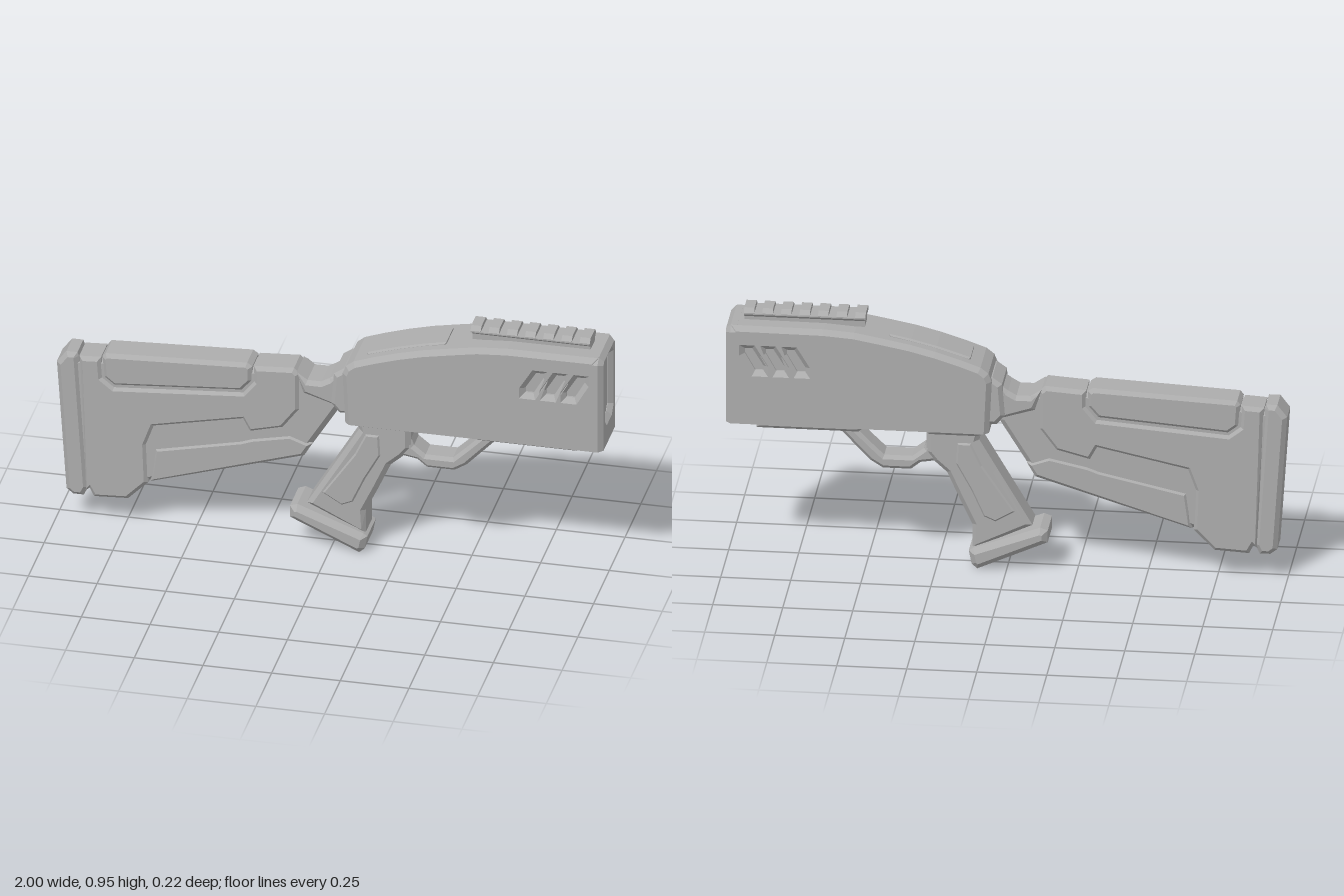
import * as THREE from 'three';

const grey = new THREE.MeshStandardMaterial({ color: 0xacacac });
grey.name = 'plain grey';

const path = (pts, Type = THREE.Shape) => new Type(pts.map(([x, y]) => new THREE.Vector2(x, y)));

// Chamfered solid from an outline, centred on its own depth axis; flatY keeps the underside square
function slab(pts, half, bevel, { holes = [], flatY } = {}) {
  const shape = path(pts);
  shape.holes = holes.map((h) => path(h, THREE.Path));
  const g = new THREE.ExtrudeGeometry(shape, {
    depth: 2 * (half - bevel), steps: 1, bevelEnabled: bevel > 0, bevelSegments: 1,
    bevelThickness: bevel, bevelSize: bevel, bevelOffset: -bevel,
  });
  g.translate(0, 0, -(half - bevel));
  if (flatY !== undefined) {
    const p = g.attributes.position;
    for (let i = 0; i < p.count; i++) if (p.getY(i) < flatY + bevel * 1.2) p.setY(i, flatY);
    g.computeVertexNormals();
  }
  return g;
}

// Rectangle with cut corners
const cutRect = (x0, x1, y0, y1, c) => [
  [x0 + c, y0], [x1 - c, y0], [x1, y0 + c], [x1, y1 - c],
  [x1 - c, y1], [x0 + c, y1], [x0, y1 - c], [x0, y0 + c],
];

export function createModel() {
  const model = new THREE.Group();
  const add = (name, geometry, x = 0) => {
    const m = new THREE.Mesh(geometry, grey);
    m.name = name;
    m.position.x = x;
    model.add(m);
  };
  // Outline in the z-y plane, extruded along x from x0 to x1
  const along = (name, pts, x0, x1, bevel, opts) =>
    add(name, slab(pts, (x1 - x0) / 2, bevel, opts).rotateY(Math.PI / 2), (x0 + x1) / 2);

  // Receiver shell with side window and three slanted vents
  const window = [
    [0.26, 0.56], [0.265, 0.625], [0.32, 0.755], [0.5, 0.755], [0.52, 0.74],
    [0.65, 0.74], [0.66, 0.725], [0.66, 0.585], [0.635, 0.56],
  ];
  const vents = [0, 1, 2].map((i) => [
    [0.715, 0.74], [0.745, 0.74], [0.782, 0.805], [0.782, 0.823], [0.755, 0.823], [0.715, 0.758],
  ].map(([x, y]) => [x + i * 0.075, y]));
  const top = [
    [0.98, 0.91], [0.65, 0.908], [0.54, 0.9], [0.44, 0.882], [0.34, 0.863],
    [0.25, 0.84], [0.16, 0.812], [0.09, 0.787], [0.062, 0.765], [0.05, 0.735],
  ];
  add('receiver', slab([[0.06, 0.54], [0.98, 0.54], ...top], 0.11, 0.018,
    { holes: [window, ...vents], flatY: 0.537 }));
  add('receiverCore', slab([[0.2, 0.545], [0.95, 0.545], [0.95, 0.87], [0.6, 0.86], [0.2, 0.79]], 0.084, 0));

  // Angled louvres inside the window
  [0, 1, 2, 3].forEach((i) => {
    const y = 0.69 - i * 0.032, x = 0.395 - i * 0.024;
    add('louvre', slab([
      [x, y - 0.026], [0.67, y - 0.026], [0.67, y], [x, y], [x - 0.09, y + 0.05], [x - 0.09, y + 0.024],
    ], 0.096 - i * 0.001, 0.008));
  });
  add('windowSill', slab([[0.25, 0.545], [0.67, 0.545], [0.67, 0.585], [0.25, 0.585]], 0.098, 0.008));

  // Front frame around a shallow recess
  along('frontFrame', [
    [-0.11, 0.54], [0.11, 0.54], [0.11, 0.888], [0.088, 0.91], [-0.088, 0.91], [-0.11, 0.888],
  ], 0.94, 1, 0.018, { holes: [cutRect(-0.052, 0.052, 0.63, 0.872, 0.02)], flatY: 0.537 });

  // Slim panel following the curved top
  const lift = (d) => [[0.42, 0.879], [0.34, 0.863], [0.25, 0.84], [0.16, 0.812], [0.13, 0.802]].map(([x, y]) => [x, y + d]);
  add('topPanel', slab([...lift(-0.02).reverse(), ...lift(0.007)], 0.06, 0.006));

  // Top rail and its teeth
  along('railBase', [
    [-0.035, 0.9], [0.035, 0.9], [0.035, 0.922], [0.05, 0.934], [0.05, 0.938],
    [-0.05, 0.938], [-0.05, 0.934], [-0.035, 0.922],
  ], 0.51, 0.94, 0);
  for (let i = 0; i < 7; i++) {
    const x = 0.506 + i * 0.0662;
    along('railTooth', [[-0.05, 0.934], [0.05, 0.934], [0.05, 0.94], [0.034, 0.955], [-0.034, 0.955], [-0.05, 0.94]], x, x + 0.037, 0);
  }

  // Plate under the front half
  add('underPlate', slab([[0.53, 0.503], [0.895, 0.503], [0.895, 0.56], [0.47, 0.56], [0.49, 0.54]], 0.065, 0.012));

  // Trigger guard loop
  add('triggerGuard', slab([
    [0.25, 0.4], [0.31, 0.39], [0.345, 0.362], [0.445, 0.362], [0.49, 0.39], [0.595, 0.5], [0.595, 0.55],
    [0.55, 0.55], [0.54, 0.51], [0.485, 0.455], [0.44, 0.412], [0.34, 0.412], [0.298, 0.445], [0.285, 0.48],
    [0.29, 0.55], [0.25, 0.55],
  ], 0.05, 0.013));

  // Pistol grip, side panels and foot
  add('gripCollar', slab([[0.085, 0.53], [0.1, 0.51], [0.28, 0.51], [0.29, 0.53], [0.27, 0.56], [0.085, 0.56]], 0.075, 0.012));
  add('grip', slab([
    [-0.09, 0.17], [0.125, 0.07], [0.125, 0.165], [0.17, 0.26], [0.215, 0.36], [0.26, 0.4], [0.288, 0.435],
    [0.288, 0.56], [0.085, 0.56], [0.1, 0.49], [0.035, 0.38],
  ], 0.063, 0.018));
  add('gripPanel', slab([
    [-0.035, 0.225], [0.04, 0.18], [0.085, 0.2], [0.13, 0.3], [0.185, 0.4], [0.18, 0.485], [0.125, 0.485], [0.085, 0.4],
  ], 0.069, 0.01));
  add('gripFoot', slab([
    [-0.147, 0.115], [0.105, 0.002], [0.125, 0.02], [0.135, 0.07], [0.12, 0.08], [-0.12, 0.17], [-0.147, 0.16],
  ], 0.087, 0.02));

  // Collar and neck joining receiver and stock
  add('rearCollar', slab([
    [0.005, 0.6], [0.035, 0.565], [0.09, 0.565], [0.09, 0.745], [0.05, 0.745], [0.015, 0.72],
  ], 0.09, 0.015));
  add('neck', slab([
    [-0.1, 0.62], [0.03, 0.58], [0.03, 0.715], [-0.005, 0.69], [-0.035, 0.673], [-0.085, 0.673], [-0.125, 0.7],
  ], 0.074, 0.015));

  // Stock: recessed core, raised outer panel, cheek pad and lower band
  add('stockCore', slab([
    [-0.95, 0.13], [-0.74, 0.112], [-0.666, 0.182], [-0.1, 0.358], [0.03, 0.567], [0.03, 0.66], [-0.09, 0.67],
    [-0.14, 0.698], [-0.3, 0.69], [-0.82, 0.665], [-0.95, 0.65],
  ], 0.052, 0.02));
  add('stockPanel', slab([
    [-0.895, 0.12], [-0.88, 0.132], [-0.864, 0.1], [-0.74, 0.107], [-0.666, 0.182], [-0.672, 0.335], [-0.644, 0.412],
    [-0.323, 0.481], [-0.297, 0.433], [-0.175, 0.465], [-0.115, 0.545], [-0.115, 0.69], [-0.136, 0.71],
    [-0.283, 0.7], [-0.283, 0.64], [-0.322, 0.592], [-0.79, 0.555], [-0.832, 0.588], [-0.838, 0.668], [-0.918, 0.663],
  ], 0.063, 0.014));
  add('cheekPad', slab([
    [-0.828, 0.59], [-0.79, 0.56], [-0.325, 0.597], [-0.288, 0.64], [-0.288, 0.697], [-0.307, 0.71], [-0.822, 0.685], [-0.834, 0.67],
  ], 0.063, 0.014));
  add('stockBand', slab([
    [-0.66, 0.184], [-0.1, 0.358], [-0.07, 0.41], [-0.15, 0.44], [-0.29, 0.41], [-0.33, 0.395], [-0.645, 0.325],
  ], 0.059, 0.014));

  // Butt pad
  add('buttPad', slab([
    [-0.965, 0.12], [-0.94, 0.1], [-0.902, 0.1], [-0.885, 0.135], [-0.92, 0.66], [-0.925, 0.675], [-0.965, 0.675], [-1, 0.63],
  ], 0.063, 0.016));

  return model;
}
